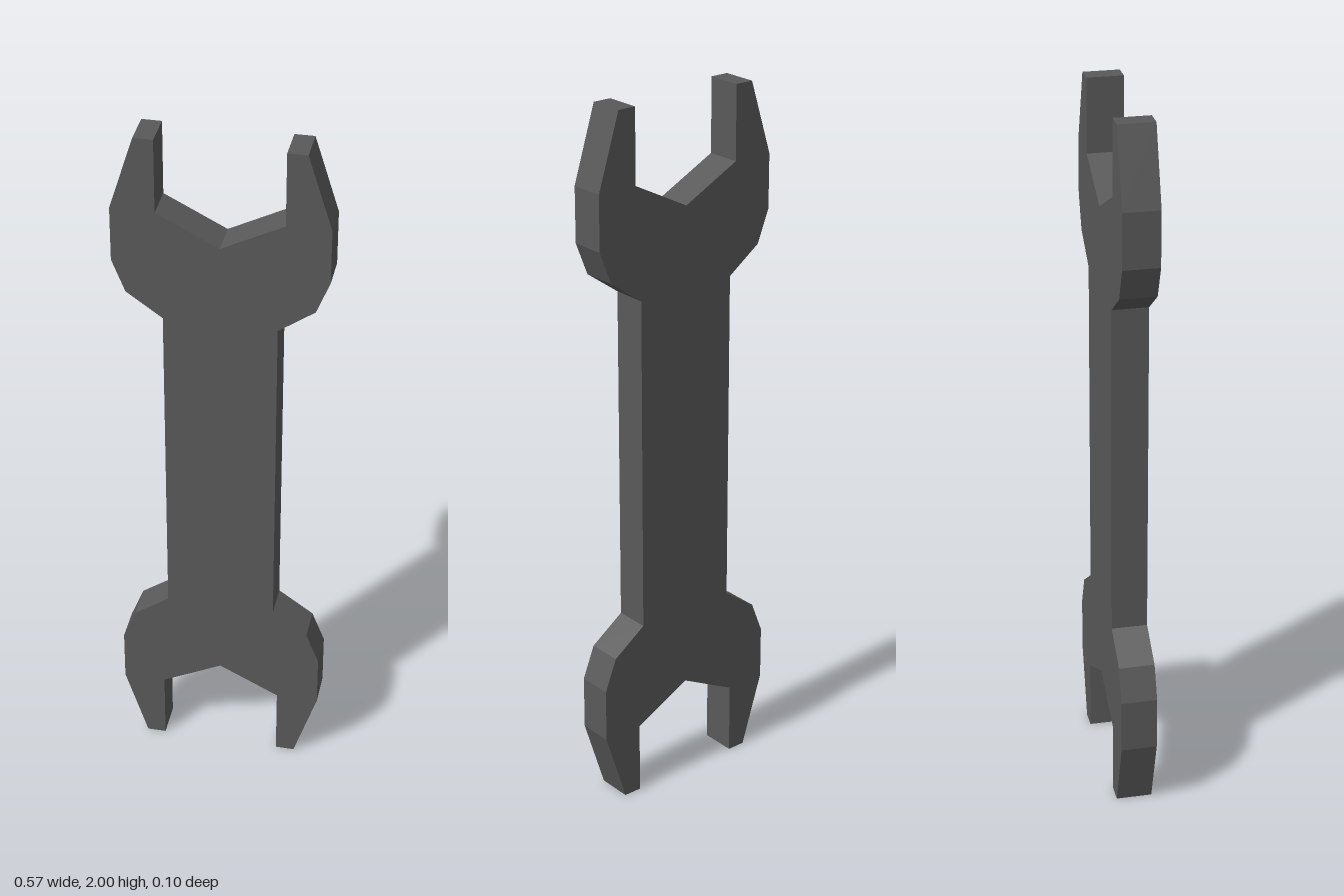
import * as THREE from 'three';

const THICKNESS = 0.1;

// One quarter of the outline, from the handle edge up round the jaw to the notch: [x, height above centre]
const QUARTER = [
  [0.152, 0.478], [0.25, 0.548], [0.286, 0.64], [0.286, 0.793],
  [0.221, 1], [0.168, 1], [0.168, 0.793], [0, 0.707],
];

export function createModel() {
  const group = new THREE.Group();
  group.name = 'openEndedWrench';

  const steel = new THREE.MeshStandardMaterial({ color: 0x595959 });
  steel.name = 'dark steel';

  // Mirror the quarter left-right for one end, then turn it half round for the other
  const mirrored = QUARTER.slice(0, -1).reverse().map(([x, y]) => [-x, y]);
  const topEnd = [...QUARTER, ...mirrored];
  const bottomEnd = topEnd.map(([x, y]) => [-x, -y]);
  const outline = [...topEnd, ...bottomEnd].map(([x, y]) => new THREE.Vector2(x, y + 1));

  // Flat body: handle and both open jaws in one plate
  const geometry = new THREE.ExtrudeGeometry(new THREE.Shape(outline), {
    depth: THICKNESS,
    bevelEnabled: false,
  });
  geometry.translate(0, 0, -THICKNESS / 2);

  const body = new THREE.Mesh(geometry, steel);
  body.name = 'handleAndJaws';
  group.add(body);
  return group;
}
